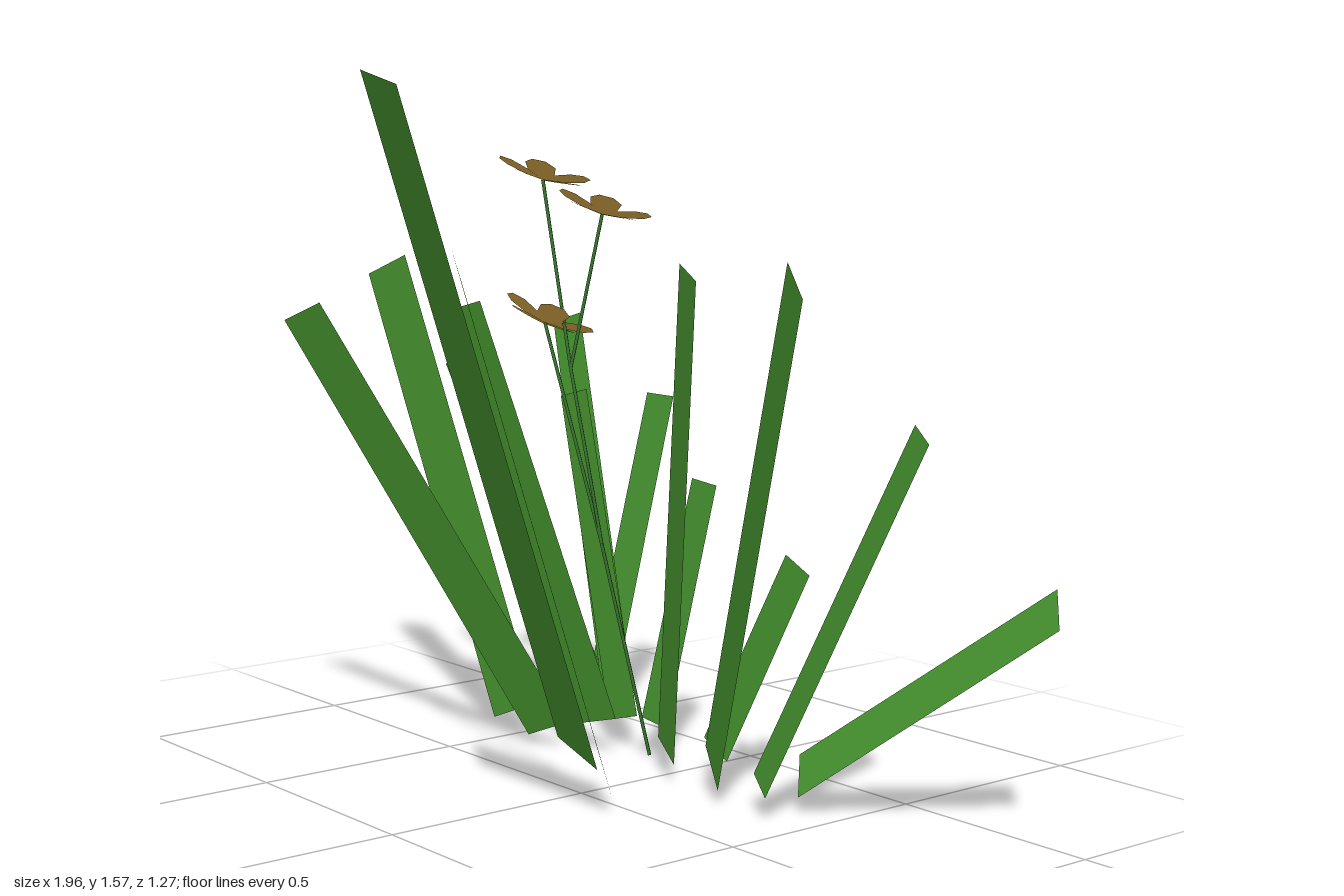
import * as THREE from 'three';

const mat = (name, color) => {
  const m = new THREE.MeshStandardMaterial({ color, side: THREE.DoubleSide });
  m.name = name;
  return m;
};

// Each blade: base left corner, base right corner, tip left corner
const frontBlades = [
  [[-0.11, 0.10, -0.02], [0.075, 0.07, 0.015], [0.005, 1.57, 0.56]],
  [[0.04, 0.10, -0.015], [0.17, 0.035, 0.05], [0.33, 1.24, 0.575]],
  [[-0.41, 0.02, -0.165], [-0.29, 0.07, -0.19], [-0.775, 1.0, 0.265]],
  [[-0.30, 0.06, -0.22], [-0.17, 0.095, -0.235], [-0.54, 1.02, -0.02]],
];
const leftBlades = [
  [[0.15, 0.10, -0.23], [0.265, 0.035, -0.165], [0.68, 1.205, 0.035]],
  [[0.33, 0.08, -0.21], [0.41, 0.05, -0.17], [0.70, 0.865, -0.30]],
  [[0.345, 0.105, -0.33], [0.41, 0.035, -0.265], [0.90, 0.535, -0.51]],
  [[-0.03, 0.08, -0.245], [0.09, 0.05, -0.19], [0.152, 1.165, -0.145]],
  [[0.065, 0.09, -0.30], [0.17, 0.06, -0.275], [0.267, 0.53, -0.355]],
  [[-0.16, 0.09, -0.305], [-0.06, 0.085, -0.295], [-0.115, 0.645, -0.415]],
];
const rightBlades = [
  [[-0.594, 0.02, -0.20], [-0.465, 0.075, -0.226], [-0.995, 1.077, -0.115]],
  [[-0.51, 0.03, -0.415], [-0.425, 0.065, -0.435], [-0.98, 0.84, -0.335]],
  [[-0.36, 0.06, -0.355], [-0.26, 0.09, -0.365], [-0.785, 0.95, -0.53]],
  [[-0.54, 0.05, -0.44], [-0.435, 0.05, -0.44], [-0.545, 0.785, -0.638]],
  [[-0.69, 0.055, -0.445], [-0.625, 0.085, -0.455], [-0.995, 0.42, -0.515]],
  [[-0.28, 0.06, -0.305], [-0.19, 0.085, -0.315], [-0.465, 0.81, -0.305]],
];

// Flat four-cornered blade, slightly narrower at the tip
function bladeGeometry([bl, br, tl]) {
  const tr = tl.map((v, i) => v + (br[i] - bl[i]) * 0.95);
  const g = new THREE.BufferGeometry();
  g.setAttribute('position', new THREE.Float32BufferAttribute([bl, br, tr, tl].flat(), 3));
  g.setIndex([0, 1, 2, 0, 2, 3]);
  g.computeVertexNormals();
  return g;
}

// One petal lying along +x, rising from the flower centre
function petalGeometry() {
  const s = new THREE.Shape();
  [[0, 0], [0.04, -0.032], [0.085, -0.036], [0.11, -0.018],
    [0.113, 0.014], [0.088, 0.036], [0.04, 0.03]]
    .forEach(([x, y], i) => (i ? s.lineTo(x, y) : s.moveTo(x, y)));
  const g = new THREE.ShapeGeometry(s);
  g.rotateX(-Math.PI / 2);
  g.rotateZ(0.2);
  return g;
}

export function createModel() {
  const root = new THREE.Group();
  root.name = 'floweringGrass';
  const leaf = mat('leafGreen', 0x46942f);
  const stemGreen = mat('stemGreen', 0x3a7a30);
  const amber = mat('petalAmber', 0xe2b04c);

  // Grass blades
  for (const [name, list] of [['frontBlade', frontBlades], ['leftBlade', leftBlades], ['rightBlade', rightBlades]]) {
    list.forEach((b, i) => {
      const m = new THREE.Mesh(bladeGeometry(b), leaf);
      m.name = name + (i + 1);
      root.add(m);
    });
  }

  // Branching stem
  const base = [-0.15, 0, -0.32], fork = [-0.21, 0.5, -0.225];
  const knee = [-0.235, 0.68, -0.205], crotch = [-0.28, 0.9, -0.19];
  const heads = [[-0.37, 1.325, -0.18], [-0.235, 1.25, -0.245], [-0.35, 1.0, -0.17]];
  const segments = [[base, fork], [fork, knee], [knee, crotch],
    [crotch, heads[0]], [crotch, heads[1]], [fork, heads[2]]];
  segments.forEach(([a, b], i) => {
    const path = new THREE.LineCurve3(new THREE.Vector3(...a), new THREE.Vector3(...b));
    const m = new THREE.Mesh(new THREE.TubeGeometry(path, 1, 0.005, 4), stemGreen);
    m.name = 'stem' + (i + 1);
    root.add(m);
  });

  // Five-petalled flowers, tipped backwards
  const petal = petalGeometry();
  const tilts = [-0.34, -0.36, -0.5];
  heads.forEach((p, i) => {
    const flower = new THREE.Group();
    flower.name = 'flower' + (i + 1);
    for (let k = 0; k < 5; k++) {
      const m = new THREE.Mesh(petal, amber);
      m.name = 'petal' + (k + 1);
      m.rotation.y = 0.45 + i * 0.15 + (k * Math.PI * 2) / 5;
      flower.add(m);
    }
    flower.position.set(...p);
    flower.rotation.x = tilts[i];
    root.add(flower);
  });
  return root;
}
